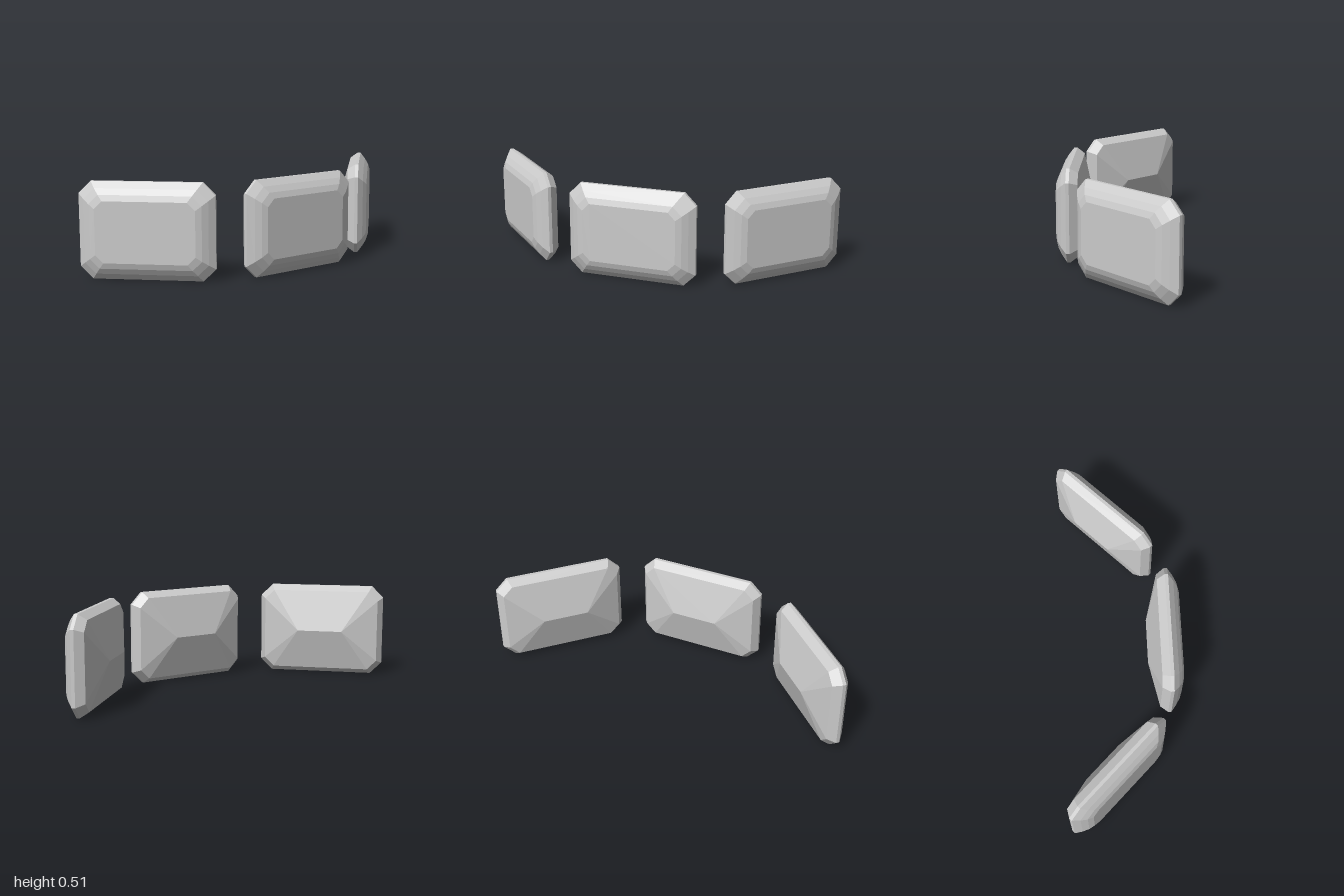
import * as THREE from 'three';
import { ConvexGeometry } from 'three/addons/geometries/ConvexGeometry.js';

const HALF_W = 0.354, HALF_H = 0.255;

// Rectangle with cut corners, inset from the girdle, at depth z
function cutCornerRing(inset, corner, z) {
  const w = HALF_W - inset, h = HALF_H - inset, points = [];
  for (const sx of [-1, 1]) for (const sy of [-1, 1]) {
    points.push(new THREE.Vector3(sx * w, sy * (h - corner), z));
    points.push(new THREE.Vector3(sx * (w - corner), sy * h, z));
  }
  return points;
}

// Step-cut gem facing +z: table, crown steps, girdle, pavilion and keel
function gemGeometry() {
  const rings = [
    [0.095, 0.041, 0.068], // table
    [0.064, 0.049, 0.057],
    [0.033, 0.057, 0.037],
    [0, 0.065, 0.009],     // girdle front
    [0, 0.065, -0.009],    // girdle back
    [0.029, 0.052, -0.052] // pavilion shoulder
  ];
  const points = rings.flatMap(r => cutCornerRing(...r));
  // keel line at the back
  for (const s of [-1, 1]) points.push(new THREE.Vector3(s * 0.125, 0, -0.114));
  return new ConvexGeometry(points);
}

export function createModel() {
  const group = new THREE.Group();
  group.name = 'threeGems';
  const material = new THREE.MeshStandardMaterial({ color: 0xcccccc, flatShading: true });
  const geometry = gemGeometry();

  // Gems placed on an arc, each facing outward
  const gems = [
    ['rightGem', -0.747, -0.057, -45.9],
    ['centreGem', -0.002, 0.256, -0.8],
    ['leftGem', 0.741, -0.053, 44.2]
  ];
  for (const [name, x, z, degrees] of gems) {
    const gem = new THREE.Mesh(geometry, material);
    gem.name = name;
    gem.position.set(x, HALF_H, z);
    gem.rotation.y = THREE.MathUtils.degToRad(degrees);
    group.add(gem);
  }
  return group;
}
